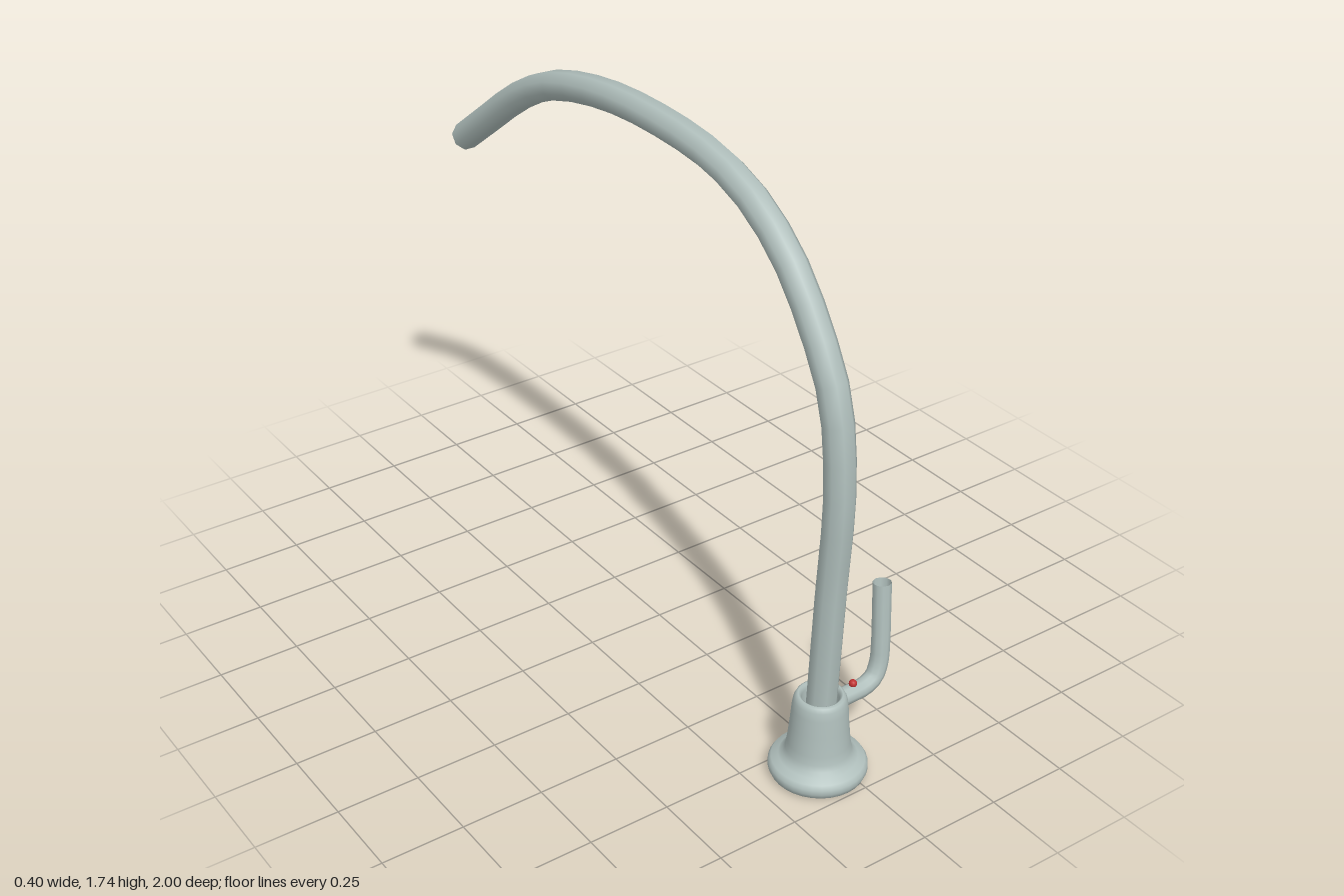
import * as THREE from 'three';

const X = -0.06, Z = 0.86; // axis of the base

function tube(name, points, segments, radius, sides, material) {
  const curve = new THREE.CatmullRomCurve3(points.map(p => new THREE.Vector3(...p)));
  const mesh = new THREE.Mesh(new THREE.TubeGeometry(curve, segments, radius, sides), material);
  mesh.name = name;
  return mesh;
}

export function createModel() {
  const group = new THREE.Group();
  group.name = 'faucet';
  const metal = new THREE.MeshStandardMaterial({ color: 0xb0bfbc, side: THREE.DoubleSide });
  const red = new THREE.MeshStandardMaterial({ color: 0xc03030 });

  // Flared base: closed underneath, with a recessed collar around the spout
  const profile = [
    [0.125, 0], [0.135, 0.007], [0.141, 0.022], [0.14, 0.036], [0.132, 0.048],
    [0.112, 0.057], [0.1, 0.068], [0.093, 0.085], [0.089, 0.11], [0.083, 0.17],
    [0.079, 0.225], [0.075, 0.25], [0.069, 0.262], [0.062, 0.266], [0.056, 0.262],
    [0.053, 0.25], [0.051, 0.2],
  ].map(p => new THREE.Vector2(...p));
  const base = new THREE.Mesh(new THREE.LatheGeometry(profile, 32), metal);
  base.name = 'base';
  base.position.set(X, 0, Z);
  const bottom = new THREE.Mesh(new THREE.CircleGeometry(0.125, 32), metal);
  bottom.name = 'baseBottom';
  bottom.rotation.x = Math.PI / 2;
  bottom.position.set(X, 0, Z);
  const collarFloor = new THREE.Mesh(new THREE.CircleGeometry(0.051, 32), metal);
  collarFloor.name = 'collarFloor';
  collarFloor.rotation.x = -Math.PI / 2;
  collarFloor.position.set(X, 0.2, Z);
  group.add(base, bottom, collarFloor);

  // Long arched spout, open at its tip; listed as z, y
  const arch = [
    [0.862, 0.18], [0.883, 0.6], [0.9, 0.95], [0.865, 1.2], [0.775, 1.37], [0.655, 1.52],
    [0.5, 1.627], [0.32, 1.682], [0.05, 1.701], [-0.18, 1.688], [-0.4, 1.643],
    [-0.53, 1.592], [-0.66, 1.517], [-0.82, 1.4], [-0.976, 1.285],
  ].map(([z, y]) => [X, y, z]);
  const spout = tube('spout', arch, 30, 0.043, 8, metal);
  // Turn the octagonal section so a flat faces up
  const pos = spout.geometry.attributes.position, nor = spout.geometry.attributes.normal;
  const { tangents, normals, binormals } = spout.geometry;
  const n = new THREE.Vector3();
  for (let i = 0; i < tangents.length; i++) {
    const centre = spout.geometry.parameters.path.getPointAt(i / 30);
    for (let j = 0; j <= 8; j++) {
      const a = (j + 0.5) / 8 * Math.PI * 2;
      n.copy(normals[i]).multiplyScalar(-Math.cos(a)).addScaledVector(binormals[i], Math.sin(a));
      nor.setXYZ(i * 9 + j, n.x, n.y, n.z);
      n.multiplyScalar(0.045).add(centre);
      pos.setXYZ(i * 9 + j, n.x, n.y, n.z);
    }
  }
  group.add(spout);

  // Lever handle bending out of the side and up
  group.add(tube('handle', [
    [0, 0.212, 0.855], [0.05, 0.213, 0.855], [0.1, 0.216, 0.855], [0.136, 0.234, 0.854],
    [0.156, 0.275, 0.85], [0.163, 0.34, 0.845], [0.167, 0.43, 0.837], [0.171, 0.527, 0.828],
  ], 20, 0.027, 10, metal));

  // Small red temperature mark on the handle
  const mark = new THREE.Mesh(new THREE.SphereGeometry(0.012, 12, 8), red);
  mark.name = 'temperatureMark';
  mark.position.set(0.06, 0.244, 0.855);
  group.add(mark);

  return group;
}
